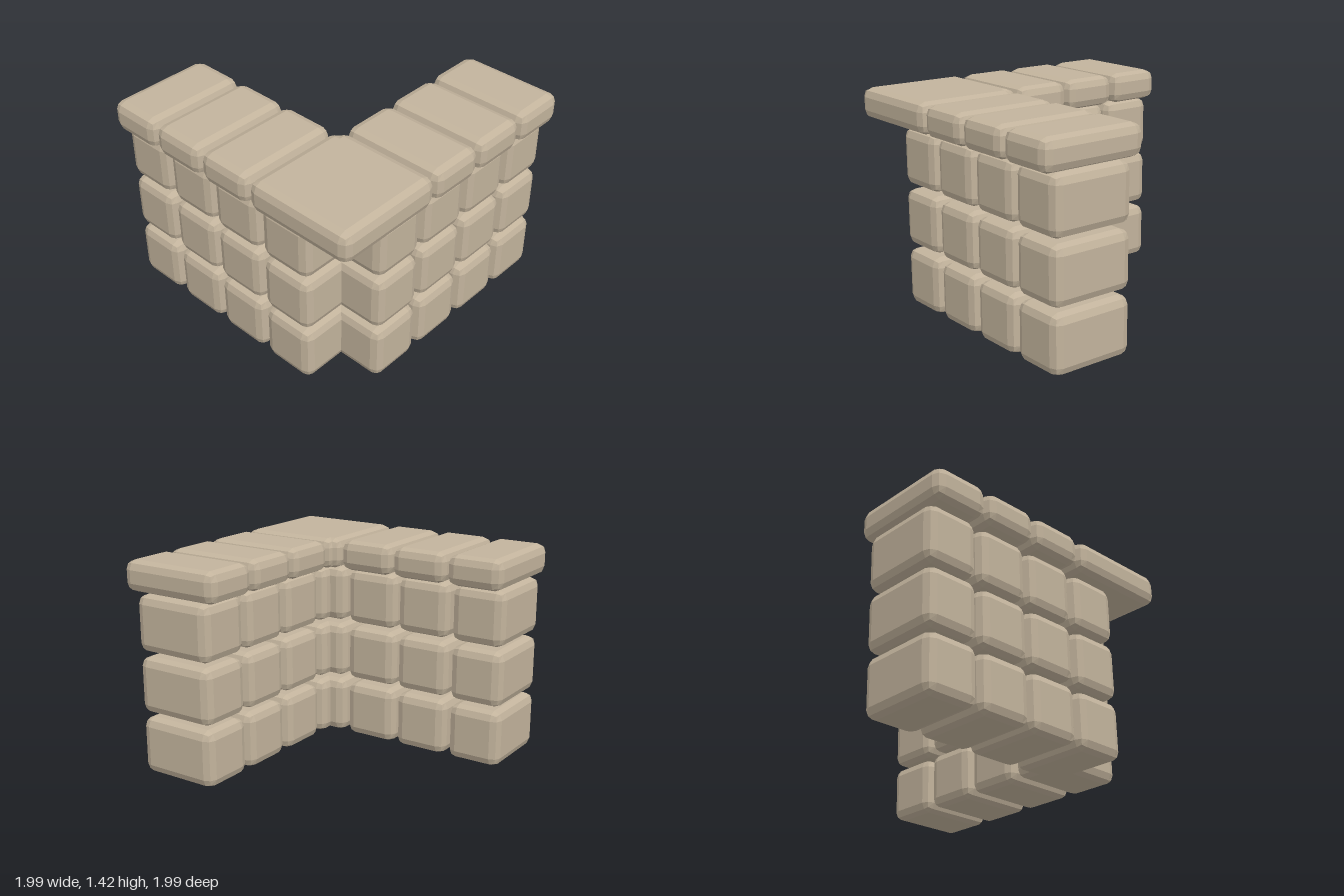
import * as THREE from 'three';
import { RoundedBoxGeometry } from 'three/addons/geometries/RoundedBoxGeometry.js';

const stone = new THREE.MeshStandardMaterial({ color: 0xc2b39c, flatShading: true });
stone.name = 'sandstone';

// Stone with two-step bevelled edges, given by its [min, max] ranges
function addStone(parent, name, [x0, x1], [y0, y1], [z0, z1]) {
  const geometry = new RoundedBoxGeometry(x1 - x0, y1 - y0, z1 - z0, 1, 0.06);
  const mesh = new THREE.Mesh(geometry, stone);
  mesh.name = name;
  mesh.position.set((x0 + x1) / 2, (y0 + y1) / 2, (z0 + z1) / 2);
  parent.add(mesh);
}

export function createModel() {
  const model = new THREE.Group();
  model.name = 'cornerWall';
  const frontWall = new THREE.Group();
  frontWall.name = 'frontWall';
  const sideWall = new THREE.Group();
  sideWall.name = 'sideWall';
  model.add(frontWall, sideWall);

  const rows = [[0, 0.385], [0.415, 0.795], [0.825, 1.205]];
  const capHeight = [1.213, 1.42];
  const blockDepth = [0.34, 0.913];
  const capDepth = [0.265, 0.993];

  // Block and cap ranges along each arm, the last one standing in the corner
  const frontBlocks = [[-0.993, -0.617], [-0.585, -0.205], [-0.18, 0.2], [0.232, 0.61]];
  const frontCaps = [[-1, -0.61], [-0.592, -0.2], [-0.184, 0.208], [0.227, 0.993]];
  const sideBlocks = [[-0.988, -0.608], [-0.58, -0.2], [-0.17, 0.21], [0.24, 0.612]];
  const sideCaps = [[-1, -0.605], [-0.588, -0.195], [-0.178, 0.215], [0.228, 0.993]];

  // Three courses of blocks
  for (const row of rows) {
    for (const span of frontBlocks) addStone(frontWall, 'frontBlock', span, row, blockDepth);
    for (const span of sideBlocks) addStone(sideWall, 'sideBlock', blockDepth, row, span);
  }

  // Overhanging capstones; the two corner caps overlap
  for (const span of frontCaps) addStone(frontWall, 'frontCap', span, capHeight, capDepth);
  for (const span of sideCaps) addStone(sideWall, 'sideCap', capDepth, capHeight, span);

  return model;
}
